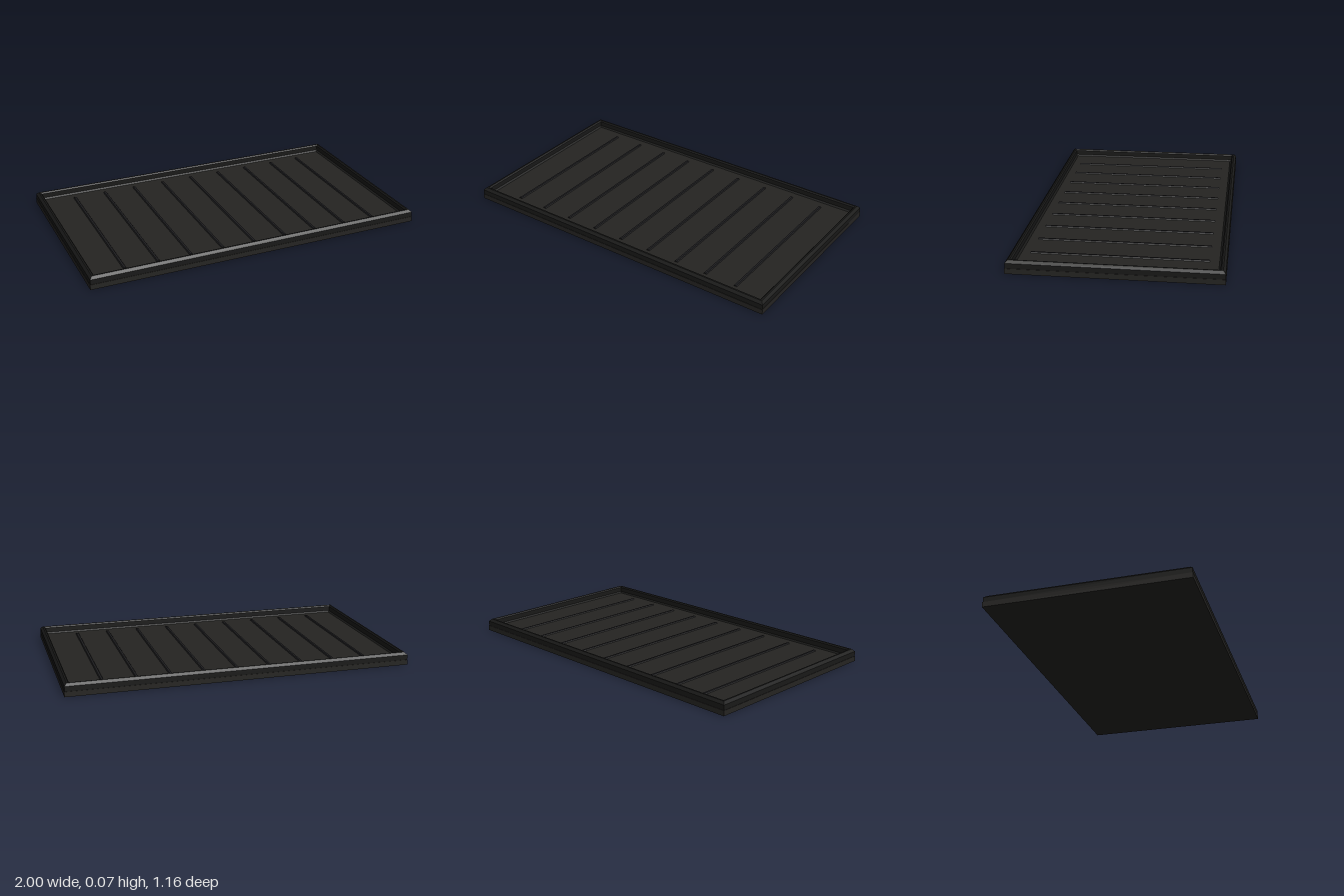
import * as THREE from 'three';

const HALF_X = 1, HALF_Z = 0.578, FLOOR = 0.03;

function part(name, geometry, color) {
  const mesh = new THREE.Mesh(geometry, new THREE.MeshStandardMaterial({ color, flatShading: true }));
  mesh.name = name;
  return mesh;
}

// Sweeps a profile of [inset, height] points around the rectangular outline with mitred corners.
function mitredFrame(profile) {
  const corners = [[-1, 1], [1, 1], [1, -1], [-1, -1]];
  const at = (c, [inset, y]) => [corners[c][0] * (HALF_X - inset), y, corners[c][1] * (HALF_Z - inset)];
  const positions = [];
  for (let i = 0; i < profile.length - 1; i++) {
    for (let c = 0; c < 4; c++) {
      const n = (c + 1) % 4;
      const a = at(c, profile[i]), b = at(n, profile[i]);
      const d = at(n, profile[i + 1]), e = at(c, profile[i + 1]);
      positions.push(...a, ...b, ...d, ...a, ...d, ...e);
    }
  }
  const geometry = new THREE.BufferGeometry();
  geometry.setAttribute('position', new THREE.Float32BufferAttribute(positions, 3));
  geometry.computeVertexNormals();
  return geometry;
}

export function createModel() {
  const tray = new THREE.Group();
  tray.name = 'tray';

  // Flat base plate
  const base = part('base', new THREE.BoxGeometry(HALF_X * 2, FLOOR, HALF_Z * 2), 0x252422);
  base.position.y = FLOOR / 2;
  tray.add(base);

  // Raised rim: bevelled top edges and a small step down to the floor
  tray.add(part('rim', mitredFrame([
    [0.002, FLOOR], [0.002, 0.059], [0.016, 0.073], [0.025, 0.073],
    [0.032, 0.066], [0.032, 0.038], [0.042, FLOOR],
  ]), 0x191918));

  // Low bevelled ribs across the floor
  const ribShape = new THREE.Shape([
    new THREE.Vector2(-0.01, 0), new THREE.Vector2(0.01, 0),
    new THREE.Vector2(0.006, 0.006), new THREE.Vector2(-0.006, 0.006),
  ]);
  const ribGeometry = new THREE.ExtrudeGeometry(ribShape, { depth: 0.97, bevelEnabled: false });
  ribGeometry.translate(0, 0, -0.485);
  const ribs = new THREE.Group();
  ribs.name = 'ribs';
  for (let i = -4; i <= 4; i++) {
    const rib = part('rib', ribGeometry, 0x1c1c1e);
    rib.position.set(i * 0.194, FLOOR, 0);
    ribs.add(rib);
  }
  tray.add(ribs);
  return tray;
}
